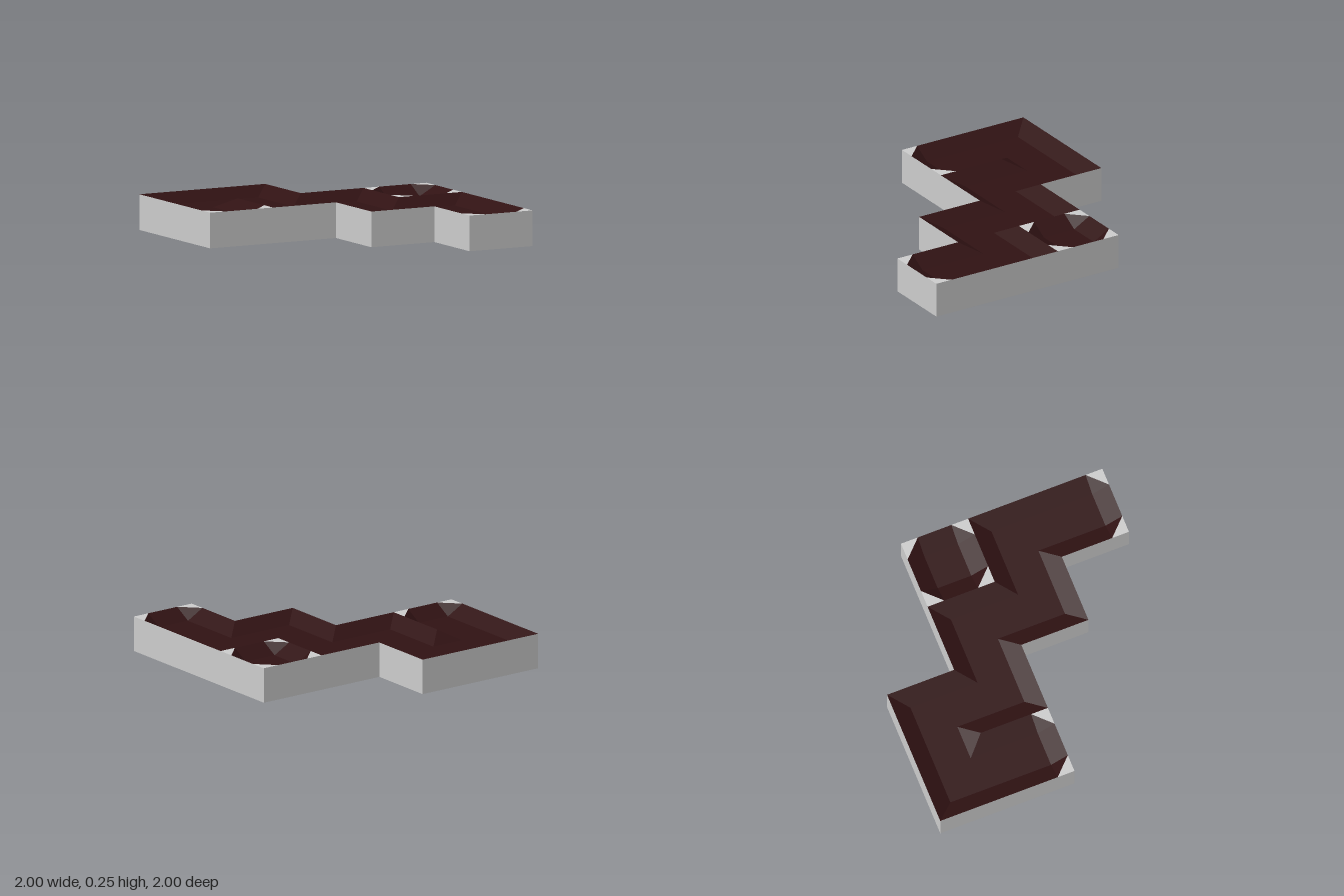
import * as THREE from 'three';

const H = 0.25;      // block height
const E = 0.125;     // width of the sloping banks
const D = 0.07;      // depth of the channels

const grey = new THREE.MeshStandardMaterial({ color: 0xcccccc, flatShading: true });
const dark = new THREE.MeshStandardMaterial({ color: 0x301213, flatShading: true });

function mesh(name, positions, material) {
  const g = new THREE.BufferGeometry();
  g.setAttribute('position', new THREE.Float32BufferAttribute(positions, 3));
  g.computeVertexNormals();
  const m = new THREE.Mesh(g, material);
  m.name = name;
  return m;
}

// Closed strip of quads between two loops of [x, z] points
function band(a, ya, b, yb) {
  const out = [];
  a.forEach((p, i) => {
    const j = (i + 1) % a.length;
    const A = [p[0], ya, p[1]], B = [a[j][0], ya, a[j][1]];
    const C = [b[i][0], yb, b[i][1]], F = [b[j][0], yb, b[j][1]];
    if (A.join() !== B.join()) out.push(...A, ...C, ...B);
    if (C.join() !== F.join()) out.push(...B, ...C, ...F);
  });
  return out;
}

// Flat polygon facing up or down
function plate(name, loop, y, up, material) {
  const s = up ? -1 : 1;
  const shape = new THREE.Shape(loop.map(([x, z]) => new THREE.Vector2(x, s * z)));
  const g = new THREE.ShapeGeometry(shape);
  g.rotateX(s * Math.PI / 2);
  g.translate(0, y, 0);
  const m = new THREE.Mesh(g, material);
  m.name = name;
  return m;
}

// Sunken channel; corners are [x, z, kind] with kind 'cut' (chamfered) or 'tip' (end of a ridge)
function channel(name, corners) {
  const lip = [], floor = [], caps = [];
  const n = corners.length;
  const dir = (p, q) => {
    const l = Math.hypot(q[0] - p[0], q[1] - p[1]);
    return [(q[0] - p[0]) / l, (q[1] - p[1]) / l];
  };
  corners.forEach((p, i) => {
    const d1 = dir(corners[(i + n - 1) % n], p), d2 = dir(p, corners[(i + 1) % n]);
    const n1 = [-d1[1], d1[0]], n2 = [-d2[1], d2[0]];
    const move = (u, v, s = 1) => [p[0] + E * (u[0] + s * v[0]), p[1] + E * (u[1] + s * v[1])];
    if (p[2] === 'cut') {
      const before = move([0, 0], d1, -1), after = move([0, 0], d2);
      lip.push(before, after);
      floor.push(move(n1, n2), move(n1, n2));
      for (const q of [before, after, p]) caps.push(q[0], H, q[1]);
    } else if (p[2] === 'tip') {
      lip.push(p, p);
      floor.push(move(n1, d1), move(n2, d2, -1));
    } else {
      lip.push(p);
      floor.push(move(n1, n2));
    }
  });
  const bed = floor.filter((p, i) => p.join() !== floor[(i + 1) % floor.length].join());
  const group = new THREE.Group();
  group.name = name;
  group.add(
    mesh('slopingBanks', band(lip, H, floor, H - D), dark),
    plate('channelBed', bed, H - D, true, dark),
    mesh('cornerCaps', caps, grey)
  );
  // cap triangles lie flat on top, so they are shown from either side
  group.children[2].material = grey.clone();
  group.children[2].material.side = THREE.DoubleSide;
  return group;
}

export function createModel() {
  const model = new THREE.Group();
  model.name = 'channelBlock';

  // Stepped block: walls and underside
  const outline = [[-1, -1], [0, -1], [0, -0.5], [1, -0.5], [1, 1], [0.5, 1],
    [0.5, 0.5], [0, 0.5], [0, 0], [-1, 0]];
  model.add(mesh('blockWalls', band(outline, 0, outline, H), grey));
  model.add(plate('blockBase', outline, 0, false, grey));

  // Long winding channel, doubling back round a thin ridge
  model.add(channel('windingChannel', [[-1, -1], [0, -1], [0, -0.5], [0.5, -0.5], [0.5, 0],
    [1, 0], [1, 1, 'cut'], [0.5, 1, 'cut'], [0.5, 0.5], [0, 0.5], [0, 0], [-0.5, 0],
    [-0.5, -0.5, 'tip'], [-0.5, 0, 'cut'], [-1, 0, 'cut']]));

  // Single closed pit
  model.add(channel('octagonalPit', [[0.5, -0.5, 'cut'], [1, -0.5, 'cut'],
    [1, 0, 'cut'], [0.5, 0, 'cut']]));
  return model;
}
